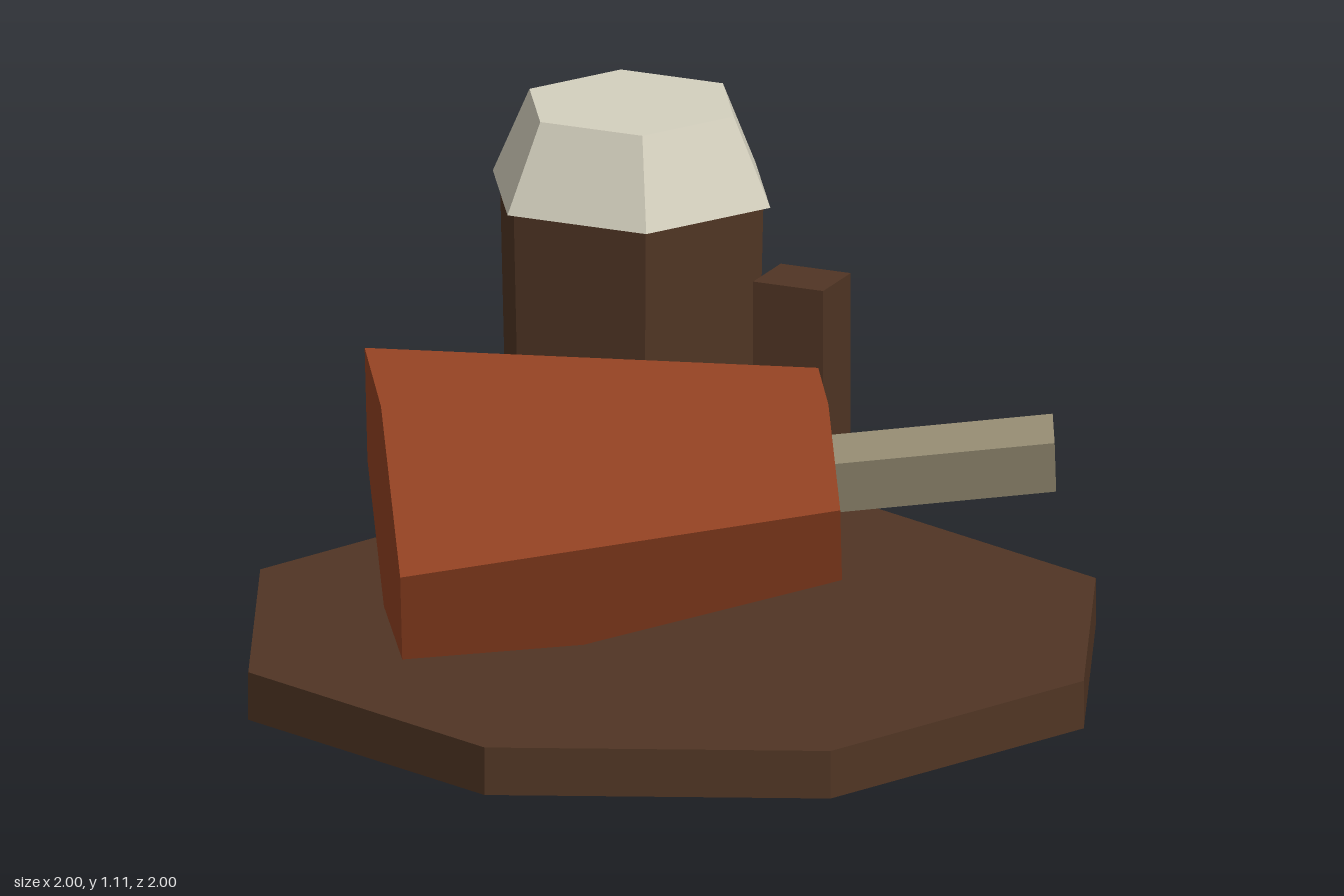
import * as THREE from 'three';

const flat = (name, color) => {
  const m = new THREE.MeshStandardMaterial({ color });
  m.name = name;
  return m;
};

// Straight prism between a ring and a second ring, both counter-clockwise about the axis
function loft(start, end) {
  const pos = [];
  const n = start.length;
  const tri = (...pts) => pts.forEach((p) => pos.push(p.x, p.y, p.z));
  for (let i = 0; i < n; i++) {
    const j = (i + 1) % n;
    tri(start[i], start[j], end[j]);
    tri(start[i], end[j], end[i]);
    if (i > 0 && i < n - 1) {
      tri(start[0], start[i + 1], start[i]);
      tri(end[0], end[i], end[i + 1]);
    }
  }
  const g = new THREE.BufferGeometry();
  g.setAttribute('position', new THREE.Float32BufferAttribute(pos, 3));
  g.computeVertexNormals();
  return g;
}

export function createModel() {
  const group = new THREE.Group();
  const brown = flat('brown', 0x503524);
  const rust = flat('rust', 0x934222);
  const cream = flat('cream', 0xd4d0be);
  const stone = flat('stone', 0x938a71);
  const V = (x, y, z) => new THREE.Vector3(x, y, z);

  const add = (name, geometry, material, x = 0, y = 0, z = 0) => {
    const mesh = new THREE.Mesh(geometry, material);
    mesh.name = name;
    mesh.position.set(x, y, z);
    group.add(mesh);
    return mesh;
  };
  const prism = (rTop, rBottom, h, sides, turn = 0) => {
    const g = new THREE.CylinderGeometry(rTop, rBottom, h, sides).rotateY(turn).toNonIndexed();
    g.computeVertexNormals();
    return g;
  };

  // Octagonal base
  add('base', prism(1, 1, 0.11, 8), brown, 0, 0.055, 0);

  // Hexagonal tower with a tapered cap
  add('tower', prism(0.32, 0.3, 0.8, 6, Math.PI / 6), brown, -0.36, 0.51, -0.575);
  add('towerCap', prism(0.248, 0.337, 0.2, 6, Math.PI / 6), cream, -0.36, 1.01, -0.575);

  // Small post beside the tower
  add('post', new THREE.BoxGeometry(0.17, 0.5, 0.147), brown, 0.055, 0.51, -0.572);

  // Tilted, tapering hexagonal body: sheared hexagon spanned by two corner directions
  const upper = V(0.05, 0.302, 0.125);
  const side = V(0.17, -0.033, 0.286);
  const hexagon = (centre, s) =>
    [[1, -1], [1, 0], [0, 1], [-1, 1], [-1, 0], [0, -1]].map(([a, b]) =>
      centre.clone().addScaledVector(upper, a * s).addScaledVector(side, b * s));
  const rear = V(-0.57, 0.363, 0.285);
  const front = V(0.285, 0.435, -0.2175);
  add('body', loft(hexagon(rear, 1), hexagon(front, 0.62)), rust);

  // Square rod continuing along the body's axis
  const across = V(0.0275, -0.015, 0.055);
  const up = V(0.005, 0.061, 0.015);
  const square = (centre) =>
    [[-1, 1], [1, 1], [1, -1], [-1, -1]].map(([a, b]) =>
      centre.clone().addScaledVector(across, a).addScaledVector(up, b));
  add('rod', loft(square(front), square(V(0.717, 0.47, -0.465))), stone);

  return group;
}
